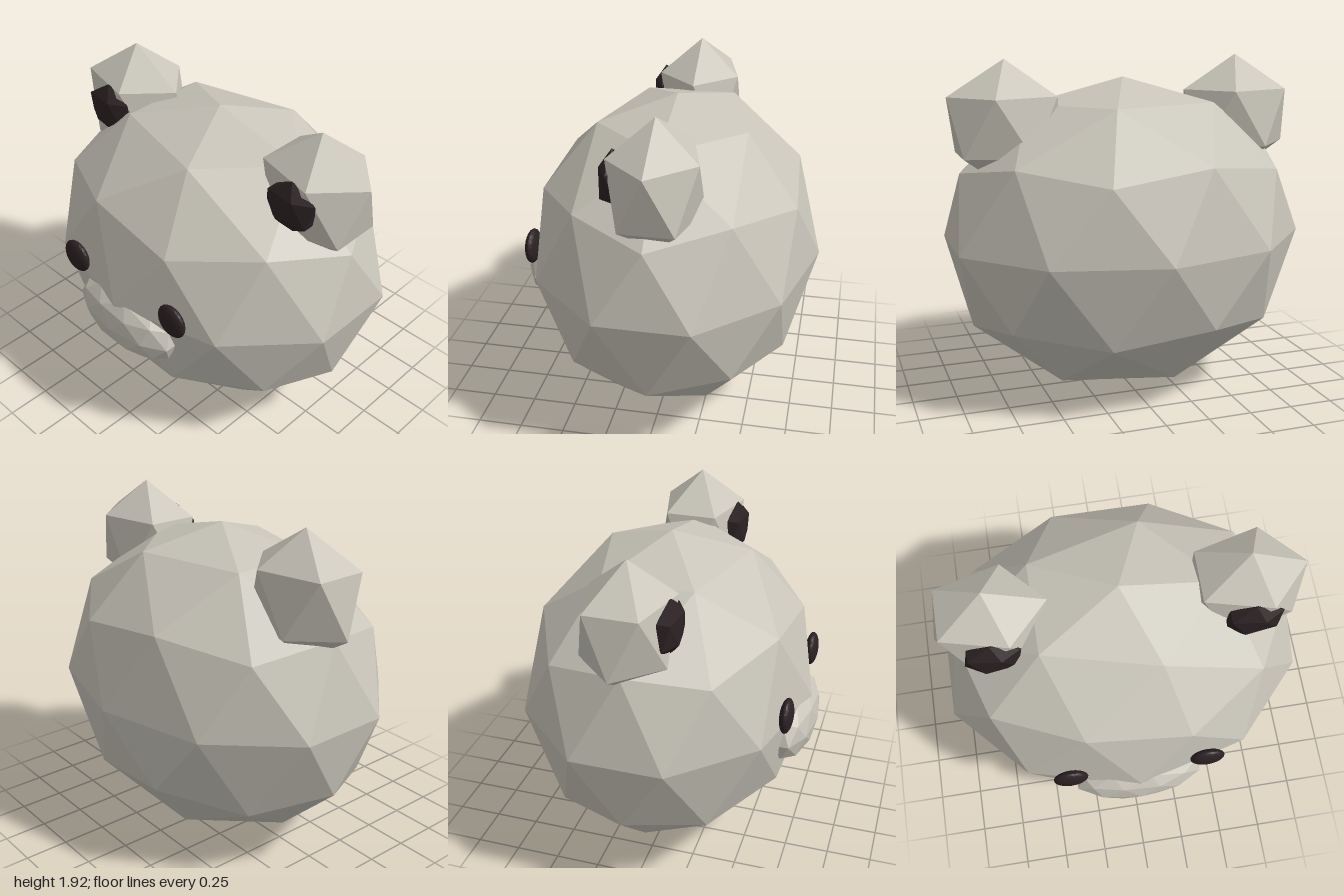
import * as THREE from 'three';

const material = (name, color) => {
  const m = new THREE.MeshStandardMaterial({ color, flatShading: true });
  m.name = name;
  return m;
};

// Faceted ball with a corner at the very top, stretched to the given radii.
function facetedBall(rx, ry, rz, detail) {
  const points = [0, 1, 0];
  const faces = [];
  const ringY = 1 / Math.sqrt(5), ringR = 2 / Math.sqrt(5);
  for (let i = 0; i < 10; i++) {
    // First five points form the upper ring, the next five the lower ring
    const lower = i >= 5;
    const a = ((i % 5) * 72 + (lower ? 36 : 0)) * Math.PI / 180;
    points.push(ringR * Math.cos(a), lower ? -ringY : ringY, ringR * Math.sin(a));
  }
  points.push(0, -1, 0);
  for (let k = 0; k < 5; k++) {
    const n = (k + 1) % 5;
    const u = 1 + k, uNext = 1 + n, l = 6 + k, lNext = 6 + n;
    faces.push(0, uNext, u, u, uNext, l, l, uNext, lNext, 11, l, lNext);
  }
  const geometry = new THREE.PolyhedronGeometry(points, faces, 1, detail);
  geometry.scale(rx, ry, rz);
  geometry.computeVertexNormals();
  return geometry;
}

export function createModel() {
  const model = new THREE.Group();
  model.name = 'animalHead';
  const fur = material('pale fur', 0xc9c5ba);
  const dark = material('dark brown', 0x2b2123);

  const add = (name, geometry, mat, x, y, z) => {
    const mesh = new THREE.Mesh(geometry, mat);
    mesh.name = name;
    mesh.position.set(x, y, z);
    model.add(mesh);
  };

  // Head and muzzle
  add('head', facetedBall(1.051, 0.902, 0.825, 1), fur, 0, 0.906, -0.025);
  add('muzzle', facetedBall(0.373, 0.205, 0.145, 1), fur, 0, 0.76, 0.7);

  // Paired parts keep the same facet direction on both sides
  const ear = facetedBall(0.355, 0.355, 0.275, 0);
  const innerEar = facetedBall(0.173, 0.152, 0.07, 0);
  const eye = facetedBall(0.097, 0.098, 0.037, 3);
  for (const [side, s] of [['left', 1], ['right', -1]]) {
    add(side + 'Ear', ear, fur, s * 0.682, 1.567, -0.045);
    add(side + 'InnerEar', innerEar, dark, s * 0.684, 1.592, 0.175);
    add(side + 'Eye', eye, dark, s * 0.385, 0.99, 0.727);
  }
  return model;
}
